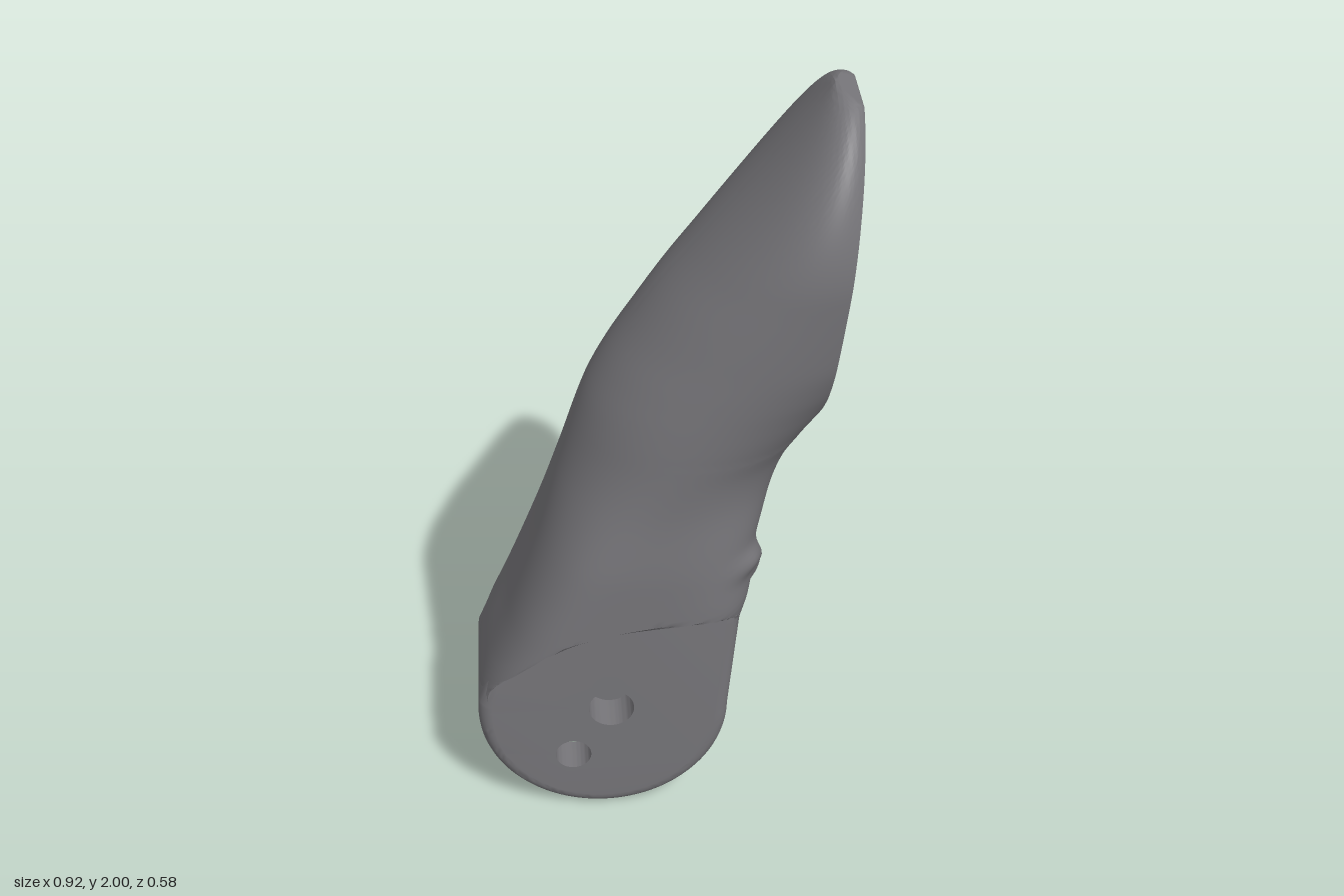
import * as THREE from 'three';
import { toCreasedNormals } from 'three/addons/utils/BufferGeometryUtils.js';

const { lerp, clamp, smoothstep, degToRad } = THREE.MathUtils;
const material = new THREE.MeshStandardMaterial({ color: 0x767579 });

// Smooth interpolation through [position, value] pairs
function curve(pts) {
  const last = pts.length - 1;
  const slope = (i) => {
    const a = pts[Math.max(i - 1, 0)], b = pts[Math.min(i + 1, last)];
    return (b[1] - a[1]) / (b[0] - a[0]);
  };
  return (p) => {
    p = clamp(p, pts[0][0], pts[last][0]);
    let i = 0;
    while (i < last - 1 && p > pts[i + 1][0]) i++;
    const [x0, v0] = pts[i], [x1, v1] = pts[i + 1];
    const d = x1 - x0, t = (p - x0) / d, t2 = t * t, t3 = t2 * t;
    return (2 * t3 - 3 * t2 + 1) * v0 + (t3 - 2 * t2 + t) * d * slope(i)
      + (3 * t2 - 2 * t3) * v1 + (t3 - t2) * d * slope(i + 1);
  };
}

// Side outline of the finger: back edge, front edge, half width, all by height
const backX = curve([[0.32, -0.46], [0.4, -0.449], [0.6, -0.37], [0.8, -0.3], [1, -0.24],
  [1.2, -0.175], [1.3, -0.125], [1.4, -0.06], [1.5, 0.01], [1.6, 0.09], [1.8, 0.25], [2, 0.4]]);
const frontX = curve([[0.32, 0.18], [0.6, 0.212], [0.7, 0.235], [0.77, 0.24], [0.83, 0.247], [0.9, 0.265],
  [1, 0.295], [1.08, 0.333], [1.15, 0.382], [1.17, 0.396], [1.2, 0.42], [1.25, 0.457], [1.3, 0.496],
  [1.4, 0.55], [1.6, 0.57], [1.8, 0.518], [1.9, 0.492], [2, 0.46]]);
const lowerWidth = curve([[0.3, 0.28], [0.8, 0.28], [1, 0.268], [1.2, 0.275], [1.4, 0.285], [1.6, 0.29]]);
const widthZ = (y) => (y < 1.6 ? lowerWidth(y) : 0.29 * Math.sqrt(Math.max(0, 1 - ((y - 1.6) / 0.4) ** 2)));
// Flat pad plane with a bevelled tip, and the shoulder line above the cheeks
const padX = (y) => (y < 1.15 ? 9 : Math.min(0.38 + 0.093 * (y - 1.15), 0.456 - 2 * (y - 1.975)));
const shoulderY = curve([[-0.42, 0.44], [-0.38, 0.51], [-0.3, 0.6], [-0.15, 0.655], [0.15, 0.685], [0.25, 0.69]]);

// Rows run from the tilted slot roof to the shoulder line, the pad and the tip
const SHOULDER = 20, PAD = 64, TIP = 124;
function rowY(i, u) {
  const roof = 0.6 - 0.1225 * (1 - u);
  const shoulder = shoulderY(lerp(-0.42, 0.22, (u + 1) / 2)) + 0.03;
  if (i <= SHOULDER) return lerp(roof, shoulder, i / SHOULDER);
  if (i <= PAD) return lerp(shoulder, 1.14, (i - SHOULDER) / (PAD - SHOULDER));
  return 1.14 + 0.86 * Math.sin((i - PAD) / (TIP - PAD) * Math.PI / 2);
}

// Soft arched folds on both sides above the slot
function foldHeight(y, z) {
  const d = Math.hypot(Math.abs(z) - 0.22, y - 0.66) - 0.15;
  return 0.024 * Math.exp(-((d / 0.032) ** 2)) * smoothstep(y, 0.62, 0.7) * (1 - smoothstep(Math.abs(z), 0.2, 0.27));
}

function bodyGeometry() {
  const around = 120, padCols = 8, cols = around + padCols;
  const pos = [], index = [];
  for (let i = 0; i <= TIP; i++) {
    const s = rowY(i, 0);
    const n = 4 - 2 * smoothstep(s, 0.6, 1.12);
    const at = (angle) => {
      const c = Math.cos(angle), w = Math.sin(angle);
      const r = (Math.abs(c) ** n + Math.abs(w) ** n) ** (-1 / n);
      const u = c * r, y = rowY(i, u);
      const x = lerp(backX(y), frontX(y), (u + 1) / 2);
      const top = rowY(SHOULDER, u);
      const limit = lerp(0.184, 0.3, smoothstep(y, top - 0.1, top));
      const z = clamp(w * r * widthZ(y), -limit, limit);
      return [u > 0 ? x + foldHeight(y, z) : x, y, z];
    };
    // The section stops where it meets the pad plane
    const cut = clamp(2 * (padX(s) - backX(s)) / (frontX(s) - backX(s)) - 1, -1, 1);
    const start = Math.atan2((1 - Math.abs(cut) ** n) ** (1 / n), cut);
    const first = at(start), end = at(2 * Math.PI - start);
    for (let j = 0; j < around; j++) pos.push(...at(lerp(start, 2 * Math.PI - start, j / around)));
    for (let j = 0; j < padCols; j++) pos.push(...end.map((v, k) => lerp(v, first[k], j / padCols)));
  }
  for (let i = 0; i < TIP; i++) {
    for (let j = 0; j < cols; j++) {
      const a = i * cols + j, b = i * cols + (j + 1) % cols;
      index.push(a, a + cols, b, b, a + cols, b + cols);
    }
  }
  // Flat slot roof
  const centre = pos.length / 3;
  pos.push(-0.107, 0.478, 0);
  for (let j = 0; j < cols; j++) index.push(centre, j, (j + 1) % cols);
  const g = new THREE.BufferGeometry();
  g.setAttribute('position', new THREE.Float32BufferAttribute(pos, 3));
  g.setIndex(index);
  return toCreasedNormals(g, 0.6);
}

// Cheek plate: rounded outer rim, flat inner face, two straight pin holes
function cheekGeometry() {
  const holes = [[-0.12, 0.34, 0.058], [-0.22, 0.185, 0.046]];
  const shape = new THREE.Shape();
  shape.absarc(-0.14, 0.32, 0.32, degToRad(172), 2 * Math.PI, false);
  [[0.205, 0.6], [0.21, 0.67], [0.1, 0.69], [-0.15, 0.67], [-0.29, 0.62], [-0.35, 0.56], [-0.395, 0.49], [-0.43, 0.43]]
    .forEach(([x, y]) => shape.lineTo(x, y));
  holes.forEach(([x, y, r]) => shape.holes.push(new THREE.Path().absarc(x, y, r, 0, 2 * Math.PI, true)));
  const rim = 0.035;
  const g = new THREE.ExtrudeGeometry(shape, {
    depth: 0.06, bevelThickness: rim, bevelSize: rim, bevelOffset: -rim, bevelSegments: 6, curveSegments: 40,
  });
  const p = g.attributes.position;
  for (let i = 0; i < p.count; i++) {
    p.setZ(i, Math.max(p.getZ(i), 0) + 0.095);
    for (const [x, y, r] of holes) {
      const dx = p.getX(i) - x, dy = p.getY(i) - y, d = Math.hypot(dx, dy);
      if (d < r + rim + 0.002) p.setXY(i, x + dx * r / d, y + dy * r / d);
    }
  }
  return toCreasedNormals(g, 0.6);
}

// Wall closing the slot at the back
function backWallGeometry() {
  const shape = new THREE.Shape();
  shape.absarc(-0.14, 0.32, 0.32, degToRad(172), degToRad(226), false);
  shape.lineTo(-0.378, 0.27);
  shape.quadraticCurveTo(-0.375, 0.36, -0.27, 0.415);
  shape.lineTo(-0.27, 0.46);
  shape.lineTo(-0.4, 0.46);
  shape.lineTo(-0.435, 0.42);
  const g = new THREE.ExtrudeGeometry(shape, { depth: 0.2, bevelEnabled: false, curveSegments: 24 });
  return toCreasedNormals(g.translate(0, 0, -0.1), 0.6);
}

export function createModel() {
  const group = new THREE.Group();
  const add = (name, geometry) => {
    const mesh = new THREE.Mesh(geometry, material);
    mesh.name = name;
    group.add(mesh);
    return mesh;
  };

  add('fingerBody', bodyGeometry());
  add('slotBackWall', backWallGeometry());

  // Mirrored cheeks
  const cheek = cheekGeometry();
  add('frontCheek', cheek);
  add('rearCheek', cheek).scale.z = -1;

  // Small half-round ridge near the top of the pad
  const ridge = add('padRidge', new THREE.SphereGeometry(1, 32, 12, 0, 2 * Math.PI, 0, Math.PI / 2));
  ridge.scale.set(0.012, 0.055, 0.125);
  ridge.position.set(0.445, 1.86, 0);
  return group;
}
